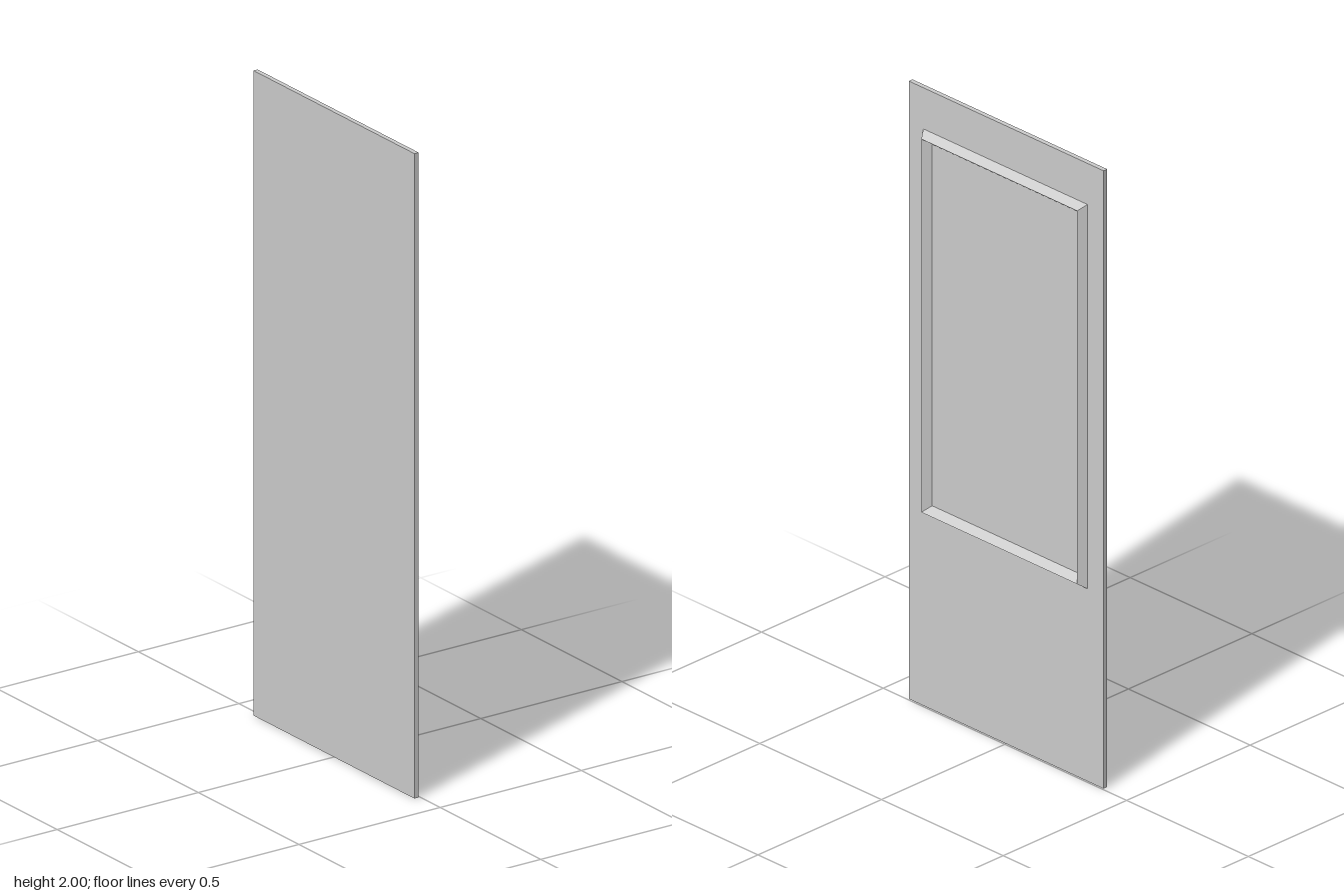
import * as THREE from 'three';

const material = new THREE.MeshStandardMaterial({ color: 0xcccccc, flatShading: true });

// Mitred moulding with a triangular section: rectangular loops joined by quads
function mouldingGeometry(loops, centreY, centreZ) {
  const signs = [[1, 1], [-1, 1], [-1, -1], [1, -1]];
  const positions = [];
  const index = [];
  for (const { x, halfY, halfZ } of loops) {
    for (const [sy, sz] of signs) positions.push(x, centreY + sy * halfY, centreZ + sz * halfZ);
  }
  for (let r = 0; r < loops.length - 1; r++) {
    for (let k = 0; k < 4; k++) {
      const a = r * 4 + k;
      const b = r * 4 + ((k + 1) % 4);
      index.push(a, b, b + 4, a, b + 4, a + 4);
    }
  }
  const geometry = new THREE.BufferGeometry();
  geometry.setAttribute('position', new THREE.Float32BufferAttribute(positions, 3));
  geometry.setIndex(index);
  const flat = geometry.toNonIndexed();
  flat.computeVertexNormals();
  return flat;
}

export function createModel() {
  const group = new THREE.Group();
  group.name = 'wallPanel';

  // Thin flat board
  const board = new THREE.Mesh(new THREE.BoxGeometry(0.015, 2, 0.8), material);
  board.name = 'board';
  board.position.set(-0.0125, 1, 0);
  group.add(board);

  // Raised frame: outer foot, ridge, inner foot
  const face = -0.005;
  const frame = new THREE.Mesh(mouldingGeometry([
    { x: face, halfY: 0.622, halfZ: 0.337 },
    { x: 0.02, halfY: 0.604, halfZ: 0.32 },
    { x: face, halfY: 0.585, halfZ: 0.301 },
  ], 1.245, 0.003), material);
  frame.name = 'frameMoulding';
  group.add(frame);

  return group;
}
